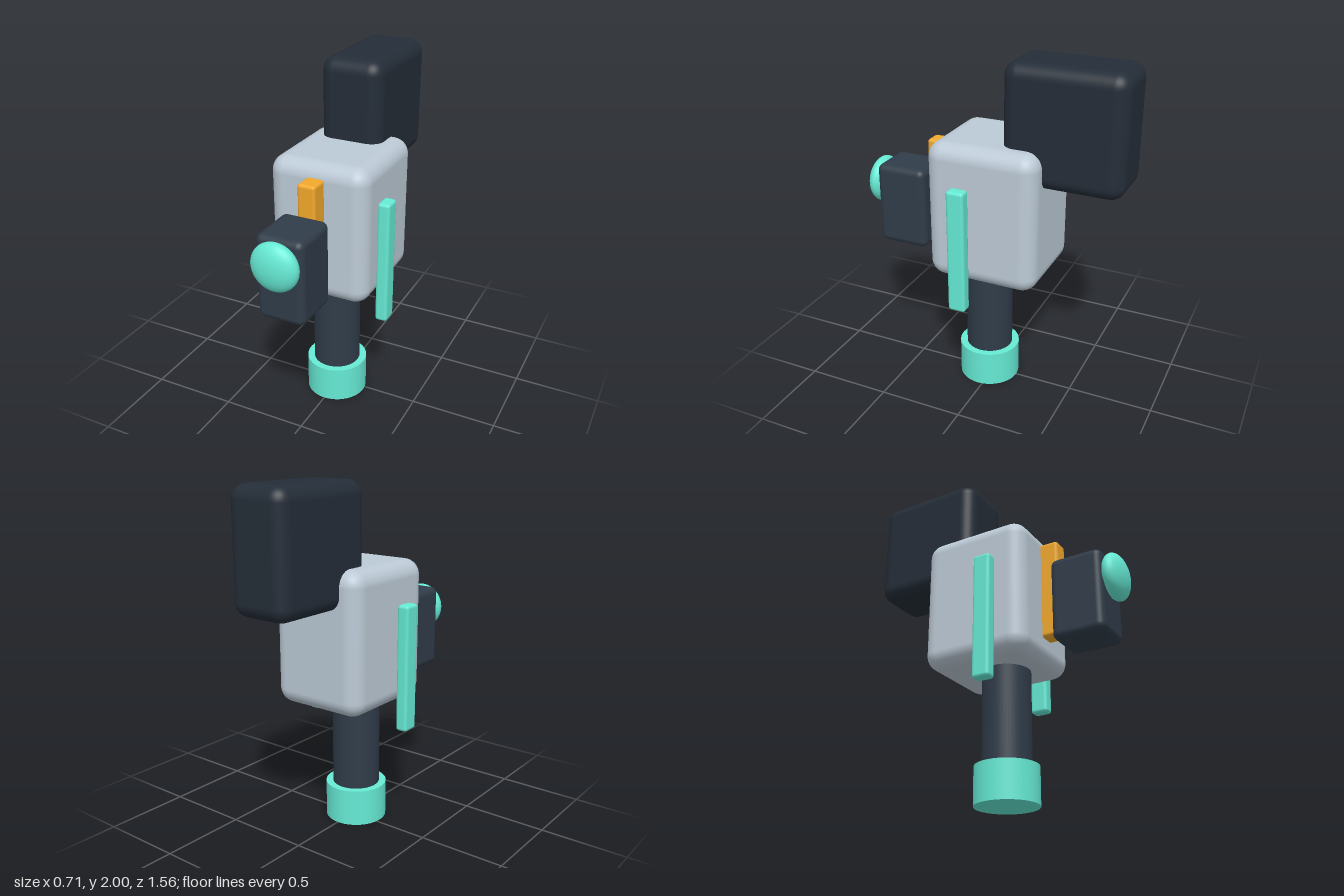
import * as THREE from 'three';
import { RoundedBoxGeometry } from 'three/addons/geometries/RoundedBoxGeometry.js';

const paint = (color) => new THREE.MeshStandardMaterial({ color });

export function createModel() {
  const model = new THREE.Group();
  const shell = paint(0xbccad6);
  const dark = paint(0x303c49);
  const darker = paint(0x242d38);
  const teal = paint(0x66ead4);
  const amber = paint(0xf2a92c);

  const add = (name, geometry, material, x, y, z) => {
    const mesh = new THREE.Mesh(geometry, material);
    mesh.name = name;
    mesh.position.set(x, y, z);
    model.add(mesh);
    return mesh;
  };

  // Rounded block given by its minimum and maximum corners
  const block = (name, material, [x0, y0, z0], [x1, y1, z1], radius, segments = 5) =>
    add(name, new RoundedBoxGeometry(x1 - x0, y1 - y0, z1 - z0, segments, radius), material,
      (x0 + x1) / 2, (y0 + y1) / 2, (z0 + z1) / 2);

  // Main housing and the hopper at its upper back
  block('body', shell, [-0.29, 0.75, -0.354], [0.29, 1.55, 0.286], 0.09);
  block('hopper', darker, [-0.182, 1.335, -0.782], [0.182, 2, -0.112], 0.08);

  // Front rail with the head block
  block('frontRail', amber, [-0.052, 0.89, 0.27], [0.052, 1.475, 0.39], 0.018, 3);
  block('headBlock', dark, [-0.137, 0.82, 0.38], [0.137, 1.305, 0.685], 0.04);

  // Flattened round button on the head
  add('button', new THREE.SphereGeometry(0.136, 40, 24), teal, 0, 1.166, 0.715)
    .scale.z = 0.49;

  // Side strips
  for (const side of [1, -1]) {
    const strip = block(side > 0 ? 'leftStrip' : 'rightStrip', teal,
      [0.284, 0.597, 0.02], [0.356, 1.325, 0.124], 0.018, 2);
    strip.position.x *= side;
  }

  // Post and foot
  add('post', new THREE.CylinderGeometry(0.137, 0.137, 0.6, 48), dark, 0, 0.5, 0.028);
  add('foot', new THREE.CylinderGeometry(0.178, 0.178, 0.214, 48), teal, 0, 0.107, 0.028);

  return model;
}
